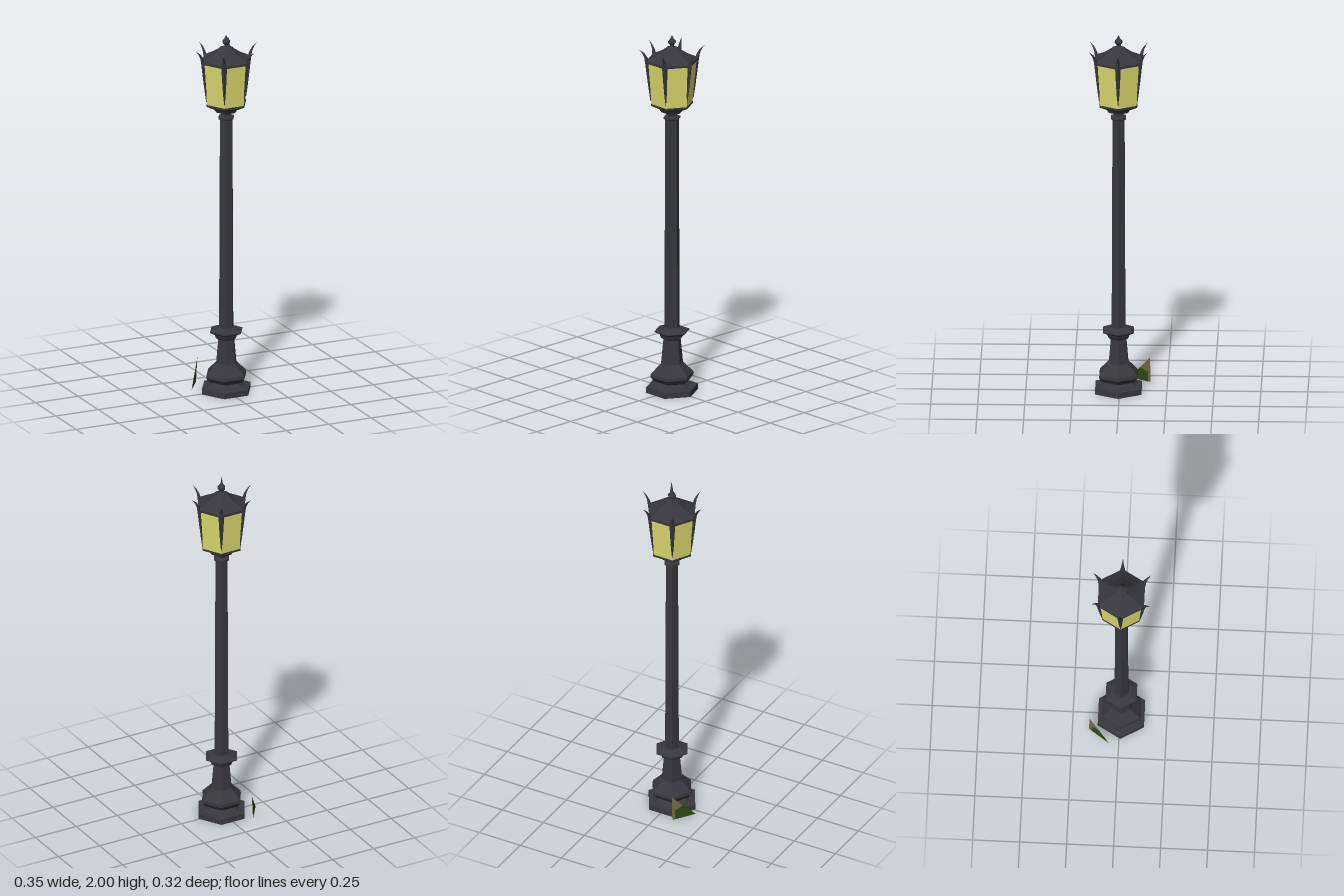
import * as THREE from 'three';

const metal = new THREE.MeshStandardMaterial({ color: 0x38373d, flatShading: true });
metal.name = 'dark iron';
const glass = new THREE.MeshStandardMaterial({ color: 0xdede70, flatShading: true, side: THREE.DoubleSide });
glass.name = 'yellow glass';
const green = new THREE.MeshStandardMaterial({ color: 0x2c4a12, flatShading: true, side: THREE.DoubleSide });
green.name = 'leaf green';
const brown = new THREE.MeshStandardMaterial({ color: 0x756a45, flatShading: true, side: THREE.DoubleSide });
brown.name = 'dry leaf brown';

// Six-sided turned part from [radius, height] pairs, corners on the x axis
function hexPart(name, profile, material) {
  const points = profile.map(([r, y]) => new THREE.Vector2(r, y));
  const mesh = new THREE.Mesh(new THREE.LatheGeometry(points, 6, Math.PI / 6), material);
  mesh.name = name;
  return mesh;
}

// Tapering horn from diamond sections [y, radial centre, half depth, half width]
function hornGeometry(sections) {
  const positions = [];
  const index = [];
  for (const [y, r, d, w] of sections) {
    positions.push(r + d, y, 0, r, y, -w, r - d, y, 0, r, y, w);
  }
  for (let i = 0; i < sections.length - 1; i++) {
    for (let j = 0; j < 4; j++) {
      const a = i * 4 + j;
      const b = i * 4 + (j + 1) % 4;
      index.push(a, b, b + 4, a, b + 4, a + 4);
    }
  }
  const geometry = new THREE.BufferGeometry();
  geometry.setAttribute('position', new THREE.Float32BufferAttribute(positions, 3));
  geometry.setIndex(index);
  geometry.computeVertexNormals();
  return geometry;
}

// Flat convex polygon as a fan
function plate(name, corners, material) {
  const geometry = new THREE.BufferGeometry().setFromPoints(corners);
  const index = [];
  for (let i = 1; i < corners.length - 1; i++) index.push(0, i, i + 1);
  geometry.setIndex(index);
  geometry.computeVertexNormals();
  const mesh = new THREE.Mesh(geometry, material);
  mesh.name = name;
  return mesh;
}

export function createModel() {
  const model = new THREE.Group();
  model.name = 'streetLamp';

  const lamp = new THREE.Group();
  lamp.name = 'lamp';
  lamp.position.z = 0.007;
  model.add(lamp);

  // Foot, bulge and collar
  lamp.add(hexPart('base', [
    [0, 0.005], [0.142, 0.005], [0.142, 0.036], [0.105, 0.04], [0.078, 0.06],
    [0.1, 0.068], [0.118, 0.092], [0.116, 0.108], [0.06, 0.165], [0.047, 0.3], [0, 0.3],
  ], metal));
  lamp.add(hexPart('collar', [
    [0.047, 0.3], [0.06, 0.308], [0.068, 0.328], [0.095, 0.342], [0.095, 0.348],
    [0.06, 0.362], [0.042, 0.366],
  ], metal));

  // Pole with neck ring
  lamp.add(hexPart('pole', [[0.042, 0.36], [0.037, 1.53]], metal));
  lamp.add(hexPart('neckRing', [
    [0.036, 1.528], [0.046, 1.534], [0.046, 1.544], [0.03, 1.55], [0.03, 1.565],
    [0.058, 1.572], [0.064, 1.582],
  ], metal));

  // Lantern: cup, panes, roof and finial
  lamp.add(hexPart('lanternCup', [
    [0.064, 1.58], [0.07, 1.59], [0.116, 1.612], [0.116, 1.622], [0, 1.622],
  ], metal));
  lamp.add(hexPart('panes', [[0.112, 1.62], [0.138, 1.858]], glass));
  lamp.add(hexPart('roof', [
    [0, 1.852], [0.142, 1.852], [0.142, 1.866], [0.128, 1.872], [0.085, 1.892],
    [0.043, 1.92], [0.036, 1.928], [0.012, 1.938],
  ], metal));
  lamp.add(hexPart('finial', [
    [0.012, 1.935], [0.011, 1.946], [0.023, 1.958], [0.023, 1.966], [0.01, 1.98], [0, 2],
  ], metal));

  // Curved horns along the lantern corners
  const horn = hornGeometry([
    [1.64, 0.116, 0.002, 0.001], [1.7, 0.121, 0.006, 0.007], [1.79, 0.13, 0.009, 0.012],
    [1.855, 0.136, 0.011, 0.015], [1.885, 0.143, 0.009, 0.01], [1.91, 0.157, 0.006, 0.005],
    [1.93, 0.177, 0.0005, 0.0005],
  ]);
  for (let i = 0; i < 6; i++) {
    const mesh = new THREE.Mesh(horn, metal);
    mesh.name = 'horn';
    mesh.rotation.y = i * Math.PI / 3;
    lamp.add(mesh);
  }

  // Thin leaf standing beside the base
  const front = new THREE.Vector3(-0.176, 0.02, -0.05);
  const heel = new THREE.Vector3(-0.097, 0.02, -0.162);
  const tip = new THREE.Vector3(-0.091, 0.16, -0.158);
  const edge = front.clone().lerp(tip, 0.52);
  const inner = heel.clone().lerp(tip, 0.45).lerp(front, 0.13);
  const low = heel.clone().lerp(front, 0.13);
  model.add(plate('leafGreen', [front, low, inner, edge], green));
  model.add(plate('leafTop', [edge, inner, tip], brown));
  model.add(plate('leafEdge', [inner, low, heel, tip], brown));

  return model;
}
